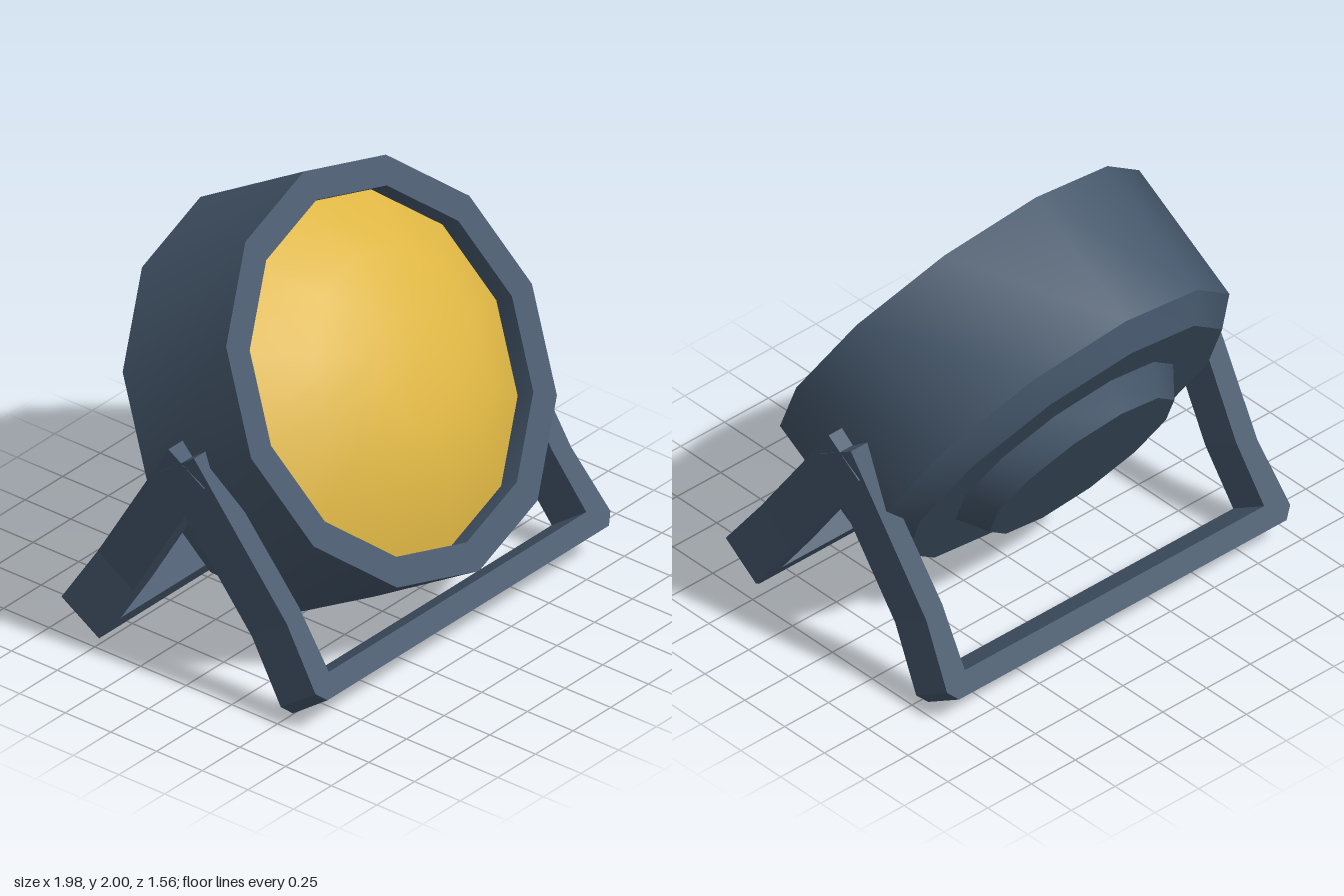
import * as THREE from 'three';
import { toCreasedNormals } from 'three/addons/utils/BufferGeometryUtils.js';

const slate = new THREE.MeshStandardMaterial({ color: 0x44566a });
const amber = new THREE.MeshStandardMaterial({ color: 0xddb543 });
const SIDES = 12;

function lathe(name, profile, material) {
  const points = profile.map(([r, y]) => new THREE.Vector2(r, y));
  const geometry = toCreasedNormals(new THREE.LatheGeometry(points, SIDES), 0.6);
  const mesh = new THREE.Mesh(geometry, material);
  mesh.name = name;
  return mesh;
}

// U-shaped bracket with chamfered corners and legs that pinch in, then flare out
function bracket(name, length, width) {
  const half = [
    [0.935, 0], [0.98, 0.05], [0.945, 0.37], [0.99, length],
    [0.89, length], [0.84, 0.4], [0.855, 0.1],
  ];
  const mirrored = half.map(([x, y]) => [-x, y]).reverse();
  const shape = new THREE.Shape([...half, ...mirrored].map(([x, y]) => new THREE.Vector2(x, y)));
  const geometry = new THREE.ExtrudeGeometry(shape, { depth: width, bevelEnabled: false });
  const mesh = new THREE.Mesh(geometry, slate);
  mesh.name = name;
  return mesh;
}

export function createModel() {
  const model = new THREE.Group();
  model.name = 'floodlight';

  // Lamp head, tilted upward around the x axis
  const head = new THREE.Group();
  head.name = 'lampHead';
  head.position.set(0, 1.2, 0.3);
  head.rotation.x = 1.031;

  // Housing: stepped back cap, bevelled drum, rim and recess wall
  head.add(lathe('housing', [
    [0, -0.895], [0.48, -0.895], [0.565, -0.766], [0.82, -0.766],
    [0.933, -0.66], [0.933, 0], [0.8, 0], [0.8, -0.1],
  ], slate));

  // Domed lens seated inside the rim
  head.add(lathe('lens', [[0.8, -0.1], [0.51, 0.075], [0.23, 0.133], [0, 0.142]], amber));
  model.add(head);

  // Two brackets leaning against each other form the stand
  const front = bracket('frontBracket', 1.175, 0.233);
  front.geometry.translate(0, 0, -0.233);
  front.position.set(0, 0.17, 0.72);
  front.rotation.x = -0.623;

  const back = bracket('backBracket', 1.172, 0.229);
  back.position.set(0, 0.122, -0.725);
  back.rotation.x = 0.557;
  model.add(front, back);

  return model;
}
